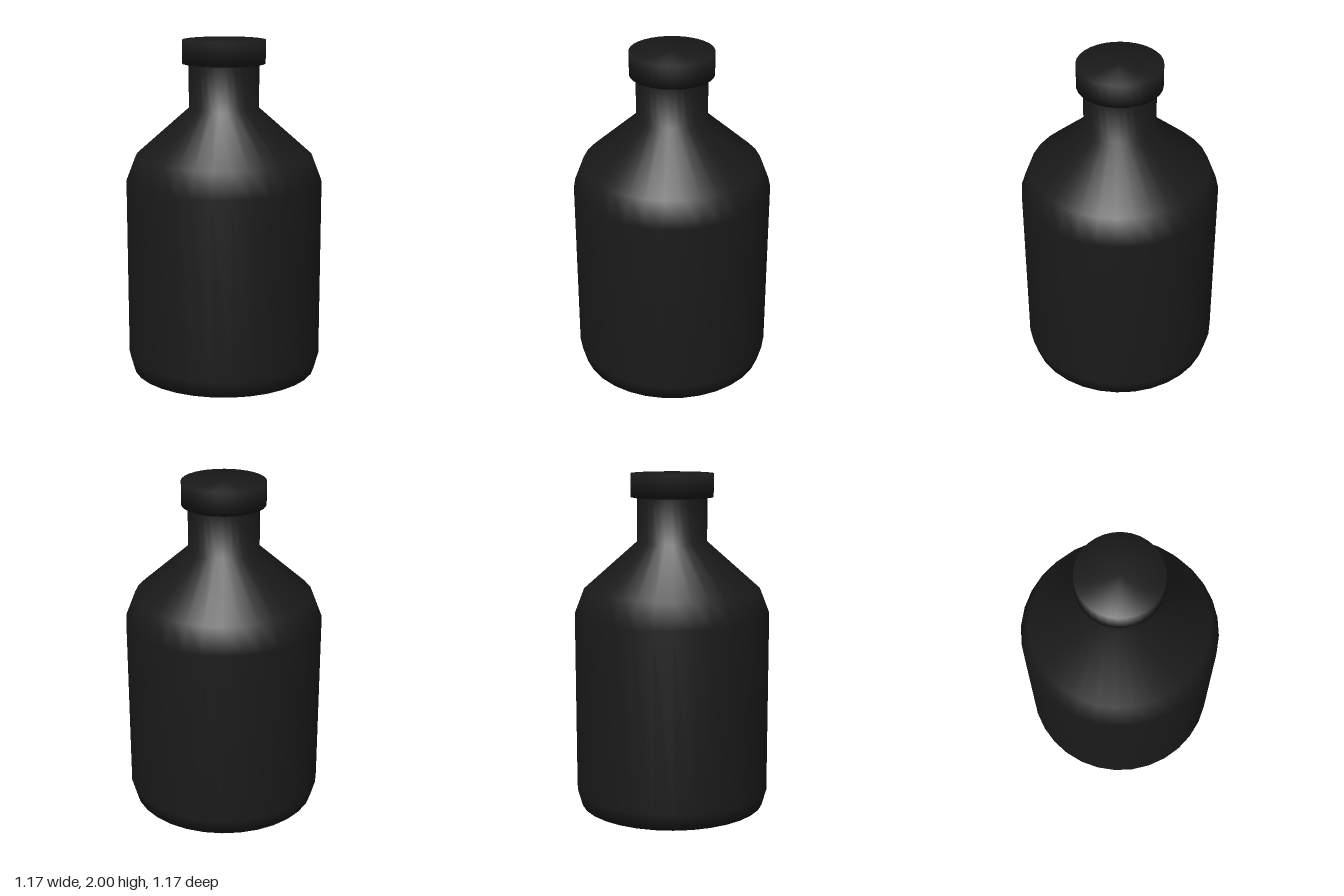
import * as THREE from 'three';

const SIDES = 32;
const material = new THREE.MeshStandardMaterial({ color: 0x1a1a1a });

// Revolves a bottom-to-top [radius, height] profile into a smooth mesh
function turned(name, profile) {
  const points = profile.map(([r, y]) => new THREE.Vector2(r, y));
  const mesh = new THREE.Mesh(new THREE.LatheGeometry(points, SIDES), material);
  mesh.name = name;
  return mesh;
}

export function createModel() {
  const model = new THREE.Group();
  model.name = 'bottle';

  // Base, straight wall, sloping shoulder and neck
  model.add(turned('bottleBody', [
    [0, 0], [0.555, 0], [0.583, 0.1], [0.583, 1.17],
    [0.525, 1.32], [0.208, 1.6], [0.208, 1.87],
  ]));

  // Closed cap, overhanging the neck
  model.add(turned('cap', [
    [0, 1.862], [0.245, 1.862], [0.245, 2], [0, 2],
  ]));

  return model;
}
